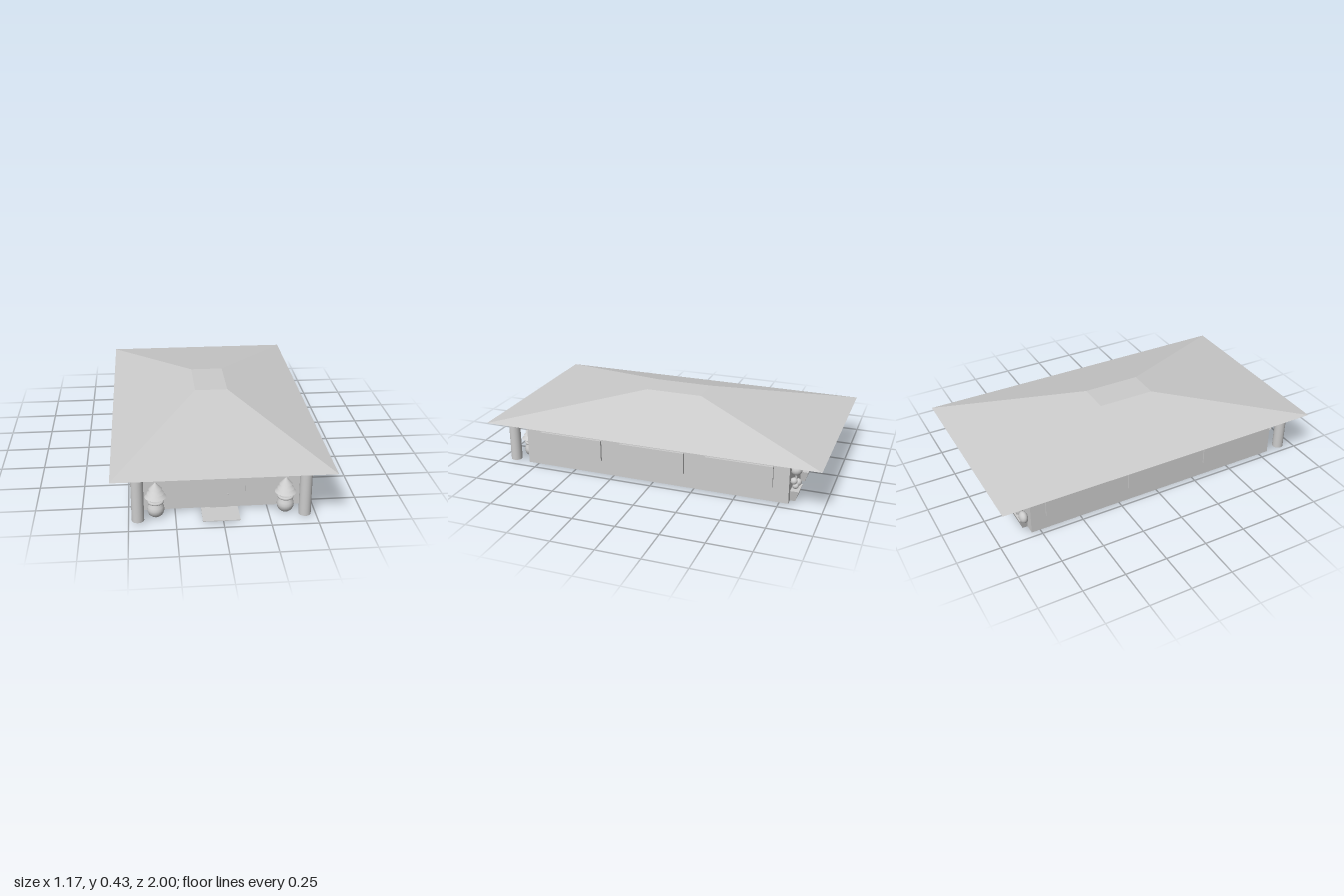
import * as THREE from 'three';

const grey = new THREE.MeshStandardMaterial({ color: 0xcccccc });
grey.name = 'plain grey';

function add(parent, name, geometry, x = 0, y = 0, z = 0) {
  const mesh = new THREE.Mesh(geometry, grey);
  mesh.name = name;
  mesh.position.set(x, y, z);
  parent.add(mesh);
  return mesh;
}

// Box given by its limits on each axis
function block(parent, name, [x0, x1], [y0, y1], [z0, z1]) {
  return add(parent, name, new THREE.BoxGeometry(x1 - x0, y1 - y0, z1 - z0),
    (x0 + x1) / 2, (y0 + y1) / 2, (z0 + z1) / 2);
}

// Box whose top or bottom ring is scaled, used for the roof and the planters
function taperedBox(w, h, d, topX, topZ, bottomX = 1, bottomZ = 1) {
  const g = new THREE.BoxGeometry(w, h, d).toNonIndexed();
  const p = g.attributes.position;
  for (let i = 0; i < p.count; i++) {
    const top = p.getY(i) > 0;
    p.setX(i, p.getX(i) * (top ? topX : bottomX));
    p.setZ(i, p.getZ(i) * (top ? topZ : bottomZ));
  }
  g.computeVertexNormals();
  return g;
}

// Planter with its back against the rear wall and a sloping front
function planter(parent, name, x0, x1) {
  const g = taperedBox(x1 - x0, 0.065, 0.05, 1, 1, 1 - 0.03 / (x1 - x0), 1);
  const p = g.attributes.position;
  for (let i = 0; i < p.count; i++) {
    if (p.getY(i) < 0 && p.getZ(i) < 0) p.setZ(i, -0.005);
  }
  g.computeVertexNormals();
  add(parent, name, g, (x0 + x1) / 2, 0.0425, -0.83);
}

function pottedTree() {
  const tree = new THREE.Group();
  tree.name = 'pottedTree';
  const profile = [[0, 0], [0.025, 0.003], [0.038, 0.015], [0.045, 0.032], [0.046, 0.045],
    [0.043, 0.06], [0.035, 0.075], [0.035, 0.08]].map(([r, y]) => new THREE.Vector2(r, y));
  add(tree, 'pot', new THREE.LatheGeometry(profile, 24));
  const rim = add(tree, 'potRim', new THREE.TorusGeometry(0.036, 0.008, 10, 24), 0, 0.087, 0);
  rim.rotation.x = Math.PI / 2;
  add(tree, 'soil', new THREE.CylinderGeometry(0.035, 0.035, 0.01, 24), 0, 0.085, 0);
  add(tree, 'trunk', new THREE.CylinderGeometry(0.006, 0.006, 0.06, 10), 0, 0.11, 0);
  for (const [r, base, h] of [[0.058, 0.115, 0.045], [0.046, 0.138, 0.04], [0.036, 0.161, 0.04]]) {
    add(tree, 'foliage', new THREE.ConeGeometry(r, h, 24), 0, base + h / 2, 0);
  }
  return tree;
}

export function createModel() {
  const house = new THREE.Group();
  house.name = 'house';

  // Shell
  block(house, 'walls', [-0.475, 0.464], [0.01, 0.287], [-0.805, 0.805]);
  add(house, 'roof', taperedBox(1.174, 0.147, 2, 0.163, 0.172), 0, 0.3605, 0);
  block(house, 'doorstep', [-0.11, 0.09], [0.006, 0.01], [0.8, 0.947]);

  // Front porch: columns and potted trees
  for (const side of [-1, 1]) {
    add(house, 'column', new THREE.CylinderGeometry(0.033, 0.033, 0.277, 24),
      -0.006 + side * 0.444, 0.1485, 0.906);
    const tree = pottedTree();
    tree.position.set(-0.006 + side * 0.348, 0, 0.85);
    house.add(tree);
  }

  // Front door and windows
  block(house, 'frontDoor', [-0.061, 0.05], [0.01, 0.186], [0.803, 0.81]);
  add(house, 'doorKnob', new THREE.SphereGeometry(0.005, 10, 8), 0.036, 0.09, 0.813);
  for (const x of [-0.255, 0.255]) {
    block(house, 'frontWindow', [x - 0.123, x + 0.123], [0.104, 0.225], [0.804, 0.812]);
  }

  // Side windows
  for (const z of [0.513, 0, -0.519]) {
    block(house, 'leftWindow', [0.464, 0.478], [0.096, 0.224], [z - 0.196, z + 0.196]);
    block(house, 'rightWindow', [-0.484, -0.475], [0.096, 0.224], [z - 0.196, z + 0.196]);
  }

  // Rear door and sliding panels
  for (const [x0, x1] of [[0.132, 0.32], [-0.17, 0.128], [-0.39, -0.174]]) {
    block(house, 'rearDoorPanel', [x0, x1], [0.012, 0.25], [-0.809, -0.804]);
  }
  for (const x of [0.236, 0.07]) {
    add(house, 'rearKnob', new THREE.SphereGeometry(0.005, 10, 8), x, 0.1, -0.811);
  }

  // Long rear planter with rounded shrubs: x, y, width, height
  planter(house, 'longPlanter', -0.43, 0.175);
  const shrubs = [[0.12, 0.088, 0.03, 0.025], [0.03, 0.1, 0.038, 0.032], [-0.045, 0.095, 0.03, 0.025],
    [-0.115, 0.092, 0.03, 0.03], [-0.215, 0.08, 0.05, 0.025], [-0.3, 0.075, 0.03, 0.02],
    [-0.36, 0.095, 0.02, 0.035], [-0.415, 0.085, 0.035, 0.035]];
  for (const [x, y, w, h] of shrubs) {
    add(house, 'shrub', new THREE.SphereGeometry(1, 16, 12), x, y, -0.825).scale.set(w, h, 0.025);
  }

  // Small rear planter with a clipped tree
  planter(house, 'smallPlanter', 0.325, 0.435);
  add(house, 'clippedTrunk', new THREE.CylinderGeometry(0.006, 0.006, 0.12, 8), 0.385, 0.13, -0.826);
  for (const [x, y, z, r] of [[0.39, 0.19, -0.826, 0.034], [0.415, 0.13, -0.82, 0.02],
    [0.36, 0.1, -0.832, 0.022], [0.39, 0.09, -0.826, 0.018]]) {
    add(house, 'clippedBall', new THREE.SphereGeometry(r, 16, 12), x, y, z);
  }
  return house;
}
